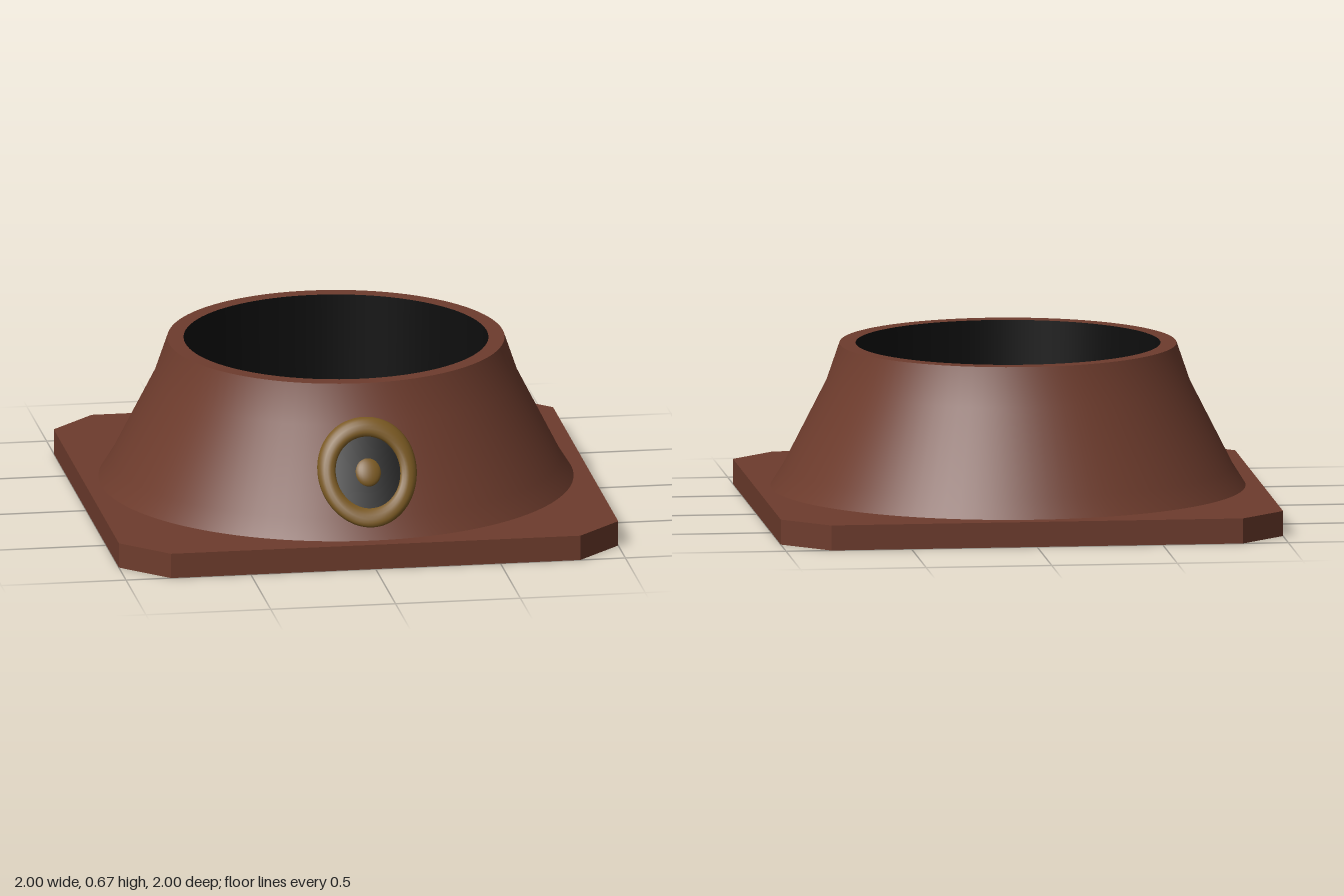
import * as THREE from 'three';
import { mergeVertices } from 'three/addons/utils/BufferGeometryUtils.js';

const mat = (name, color) => new THREE.MeshStandardMaterial({ name, color, side: THREE.DoubleSide });

// outer flare of the collar as [radius, height]
const FLARE = [[0.94, 0.1], [0.89, 0.18], [0.72, 0.515], [0.667, 0.67]];

function flareRadius(y) {
  for (let i = 1; i < FLARE.length; i++) {
    const [r0, y0] = FLARE[i - 1], [r1, y1] = FLARE[i];
    if (y <= y1 || i === FLARE.length - 1) return r0 + (r1 - r0) * (y - y0) / (y1 - y0);
  }
}

// lay a flat piece, built around z = 0, onto the front of the collar
function wrap(geometry, centreY) {
  geometry.deleteAttribute('uv');
  geometry.deleteAttribute('normal');
  const g = mergeVertices(geometry, 1e-4), p = g.attributes.position;
  for (let i = 0; i < p.count; i++) {
    const x = p.getX(i), y = p.getY(i) + centreY, r = flareRadius(y);
    p.setXYZ(i, x, y, p.getZ(i) + Math.sqrt(r * r - x * x));
  }
  g.computeVertexNormals();
  return g;
}

export function createModel() {
  const model = new THREE.Group();
  const brown = mat('brown', 0x6e3c2d), black = mat('black', 0x0e0e0e), gold = mat('gold', 0x7a5922);

  const add = (name, geometry, material) => {
    const mesh = new THREE.Mesh(geometry, material);
    mesh.name = name;
    model.add(mesh);
    return mesh;
  };
  const lathe = (pts) => new THREE.LatheGeometry(pts.map(([r, y]) => new THREE.Vector2(r, y)), 96);

  // square base plate with cut corners and a round hole
  const c = 0.82;
  const outline = new THREE.Shape([[c, -1], [1, -c], [1, c], [c, 1], [-c, 1], [-1, c], [-1, -c], [-c, -1]]
    .map(([x, y]) => new THREE.Vector2(x, y)));
  outline.holes.push(new THREE.Path().absarc(0, 0, 0.6, 0, Math.PI * 2, true));
  const plate = new THREE.ExtrudeGeometry(outline, { depth: 0.1, bevelEnabled: false, curveSegments: 48 });
  add('basePlate', plate.rotateX(-Math.PI / 2), brown);

  // flared collar and its flat rim
  add('collar', lathe(FLARE), brown);
  add('rim', lathe([[0.667, 0.67], [0.603, 0.67]]), brown);

  // dark throat and its floor
  add('throat', lathe([[0.603, 0.67], [0.587, 0.05]]), black);
  const floor = add('throatFloor', new THREE.CircleGeometry(0.582, 96).rotateX(-Math.PI / 2), black);
  floor.position.y = 0.05;

  // round badge following the slope of the collar
  const y = 0.345;
  add('badgeRing', wrap(new THREE.TorusGeometry(0.163, 0.036, 16, 64).scale(1, 1, 0.85), y), gold);
  add('badgeFace', wrap(new THREE.RingGeometry(0.02, 0.14, 64, 6).translate(0, 0, 0.009), y), black);
  add('badgeButton', wrap(new THREE.SphereGeometry(0.054, 24, 16).scale(1, 1, 0.5), y), gold);

  return model;
}
